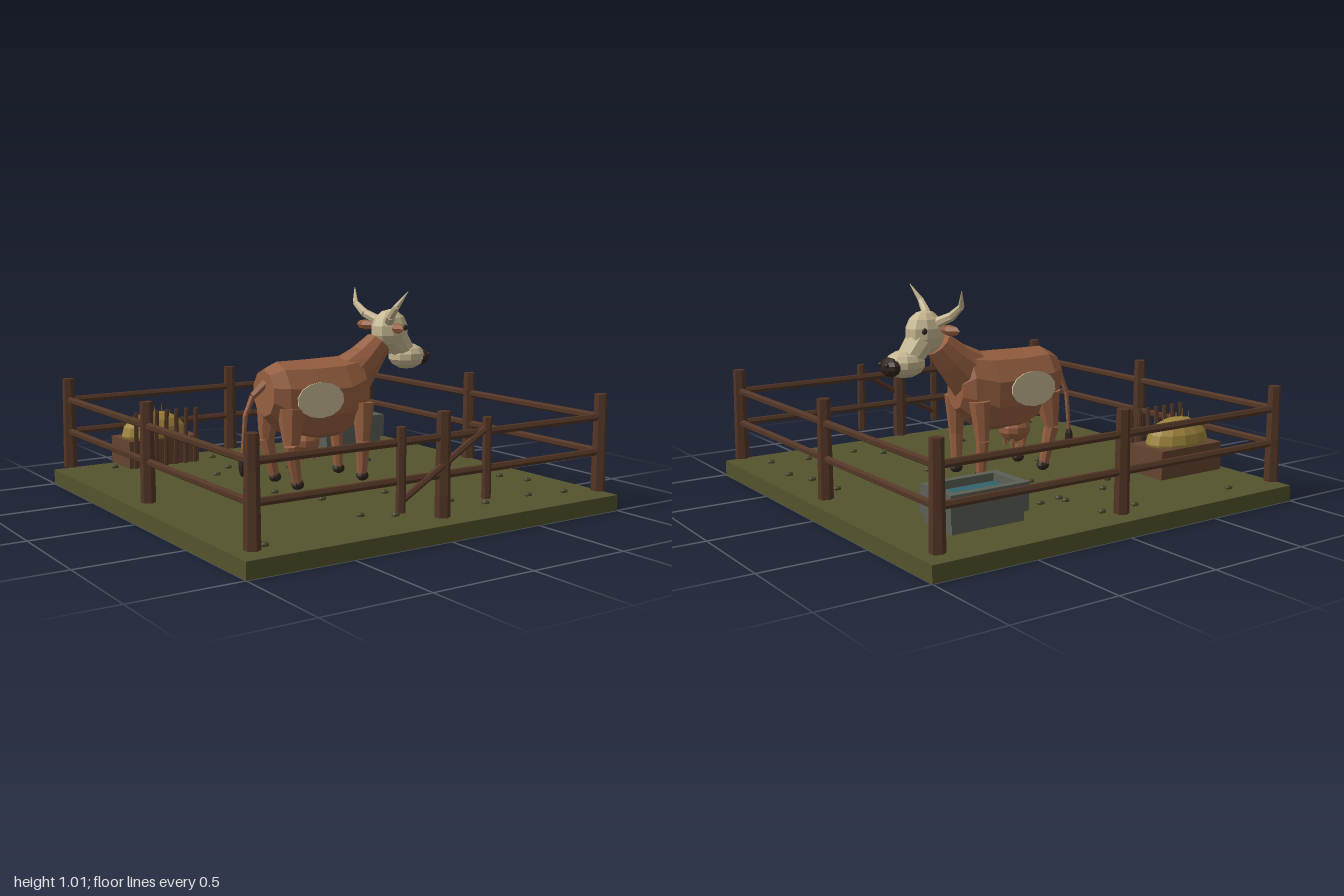
import * as THREE from 'three';

const mat = (name, color, extra = {}) => {
  const m = new THREE.MeshStandardMaterial({ color, flatShading: true, ...extra });
  m.name = name;
  return m;
};

export function createModel() {
  const grass = mat('grass', 0x54542d), tuftGreen = mat('dark grass', 0x46462a);
  const wood = mat('fence wood', 0x523525), plank = mat('feeder wood', 0x644430);
  const hide = mat('brown hide', 0x965f40), cream = mat('cream', 0xc6b791, { side: THREE.DoubleSide });
  const dark = mat('dark horn', 0x30251f), hay = mat('hay', 0x9c823a);
  const stone = mat('stone', 0x5b6056), water = mat('water', 0x34646a);

  const root = new THREE.Group();
  const group = (name) => {
    const g = new THREE.Group();
    g.name = name;
    root.add(g);
    return g;
  };
  const add = (parent, name, geo, material, x = 0, y = 0, z = 0) => {
    const m = new THREE.Mesh(geo, material);
    m.name = name;
    m.position.set(x, y, z);
    parent.add(m);
    return m;
  };
  const box = (p, name, m, w, h, d, x, y, z) => add(p, name, new THREE.BoxGeometry(w, h, d), m, x, y, z);
  const blob = (p, name, m, r, c, ws = 10, hs = 7) => {
    const b = add(p, name, new THREE.SphereGeometry(1, ws, hs), m, ...c);
    b.scale.set(...r);
    return b;
  };
  // Tapered round bar between two points
  const bar = (p, name, m, a, b, r0, r1 = r0, sides = 6) => {
    const A = new THREE.Vector3(...a), B = new THREE.Vector3(...b);
    const d = B.clone().sub(A);
    const s = add(p, name, new THREE.CylinderGeometry(r1, r0, d.length(), sides), m);
    s.position.copy(A).add(B).multiplyScalar(0.5);
    s.quaternion.setFromUnitVectors(new THREE.Vector3(0, 1, 0), d.normalize());
    return s;
  };
  // Chain of tapered bars through [x, y, z, radius] points
  const chain = (p, name, m, pts, sides = 6) => {
    for (let i = 0; i < pts.length - 1; i++) {
      bar(p, name, m, pts[i].slice(0, 3), pts[i + 1].slice(0, 3), pts[i][3], pts[i + 1][3], sides);
    }
  };
  // Skin over oval sections [x, y, halfHeight, halfWidth, lean]
  const loft = (sections, n = 10) => {
    const pos = [], idx = [];
    for (const [x, y, h, w, lean = 0] of sections) {
      for (let j = 0; j < n; j++) {
        const a = (j / n) * Math.PI * 2, u = h * Math.cos(a);
        pos.push(x - Math.sin(lean) * u, y + Math.cos(lean) * u, w * Math.sin(a));
      }
    }
    const last = sections.length - 1, c = pos.length / 3;
    pos.push(sections[0][0], sections[0][1], 0, sections[last][0], sections[last][1], 0);
    for (let j = 0; j < n; j++) {
      const k = (j + 1) % n;
      for (let i = 0; i < last; i++) {
        const a = i * n + j, b = i * n + k;
        idx.push(a, b, b + n, a, b + n, a + n);
      }
      idx.push(c, k, j, c + 1, last * n + j, last * n + k);
    }
    const g = new THREE.BufferGeometry();
    g.setAttribute('position', new THREE.Float32BufferAttribute(pos, 3));
    g.setIndex(idx);
    g.computeVertexNormals();
    return g;
  };

  // Ground with small clumps
  const ground = group('ground');
  box(ground, 'groundSlab', grass, 2, 0.075, 2, 0, 0.0375, 0);
  const clumps = [
    [-0.72, -0.87], [-0.17, -0.83], [0.02, -0.83], [0.04, -0.6], [0.04, -0.55], [0.16, -0.57], [-0.23, -0.54],
    [-0.36, -0.42], [0.05, -0.39], [-0.5, -0.31], [0.49, -0.3], [-0.03, -0.24], [-0.32, 0.08], [0.26, 0.22],
    [0.79, 0.17], [-0.21, 0.32], [0.11, 0.37], [0.81, 0.39], [0.86, 0.54], [-0.24, 0.67], [0.26, 0.67],
    [-0.11, 0.75], [0.37, 0.79], [0.64, 0.78], [0.83, 0.82], [-0.83, 0.85],
  ];
  for (const [x, z] of clumps) blob(ground, 'grassClump', tuftGreen, [0.021, 0.012, 0.016], [x, 0.08, z], 8, 5);

  // Fence: eight posts and two rails on each side
  const fence = group('fence');
  const e = 0.935;
  for (const x of [-e, 0, e]) {
    for (const z of [-e, 0, e]) {
      if (x || z) bar(fence, 'fencePost', wood, [x, 0.095, z], [x, 0.552, z], 0.035, 0.03);
    }
  }
  for (const y of [0.28, 0.443]) {
    for (const s of [-e, e]) {
      bar(fence, 'fenceRail', wood, [-e, y, s], [e, y, s], 0.018);
      bar(fence, 'fenceRail', wood, [s, y, -e], [s, y, e], 0.018);
    }
  }
  // Gate uprights and brace
  for (const x of [-0.235, 0.23]) bar(fence, 'gatePost', wood, [x, 0.15, 0.95], [x, 0.51, 0.95], 0.021);
  bar(fence, 'gateBrace', wood, [-0.235, 0.195, 0.95], [0.23, 0.465, 0.95], 0.015);

  // Hay feeder
  const feeder = group('hayFeeder');
  box(feeder, 'feederBox', plank, 0.38, 0.135, 0.22, -0.595, 0.203, -0.64);
  blob(feeder, 'hayHeap', hay, [0.175, 0.115, 0.105], [-0.6, 0.28, -0.64], 14, 8);
  for (let i = 0; i < 7; i++) {
    const x = -0.763 + i * 0.054;
    bar(feeder, 'feederSlat', wood, [x, 0.14, -0.508], [x, 0.42, -0.49], 0.011);
    const t = (i - 3) / 3;
    const y = 0.4 - 0.045 * t * t;
    add(feeder, 'hayStraw', new THREE.ConeGeometry(0.007, 0.09, 4), hay, -0.6 + t * 0.12, y - 0.01, -0.63);
  }

  // Water trough: foot, floor, four walls
  const trough = group('waterTrough');
  const tx = 0.59, tz = -0.68;
  box(trough, 'troughFoot', stone, 0.36, 0.05, 0.21, tx, 0.12, tz);
  box(trough, 'troughFloor', stone, 0.38, 0.03, 0.23, tx, 0.155, tz);
  for (const s of [-1, 1]) {
    box(trough, 'troughSide', stone, 0.39, 0.125, 0.035, tx, 0.203, tz + s * 0.103);
    box(trough, 'troughEnd', stone, 0.037, 0.125, 0.172, tx + s * 0.1765, 0.203, tz);
  }
  box(trough, 'waterSurface', water, 0.316, 0.06, 0.172, tx, 0.2, tz);

  // Cow body and neck
  const cow = group('cow');
  add(cow, 'body', loft([
    [-0.33, 0.54, 0.112, 0.1], [-0.26, 0.52, 0.167, 0.14], [-0.1, 0.49, 0.198, 0.158],
    [0.08, 0.495, 0.197, 0.153], [0.19, 0.53, 0.17, 0.115], [0.24, 0.52, 0.1, 0.07],
  ]), hide);
  add(cow, 'neck', loft([
    [0.14, 0.56, 0.14, 0.1, 0.5], [0.26, 0.67, 0.092, 0.078, 0.8], [0.335, 0.745, 0.07, 0.06, 0.85],
  ]), hide);

  // Head
  blob(cow, 'skull', cream, [0.1, 0.105, 0.078], [0.405, 0.805, 0]);
  blob(cow, 'muzzle', cream, [0.1, 0.066, 0.082], [0.515, 0.668, 0]);
  bar(cow, 'face', cream, [0.43, 0.77, 0], [0.5, 0.68, 0], 0.07, 0.06, 10);
  blob(cow, 'nose', dark, [0.042, 0.045, 0.07], [0.592, 0.66, 0]);

  // Udder
  blob(cow, 'udder', hide, [0.085, 0.065, 0.07], [-0.11, 0.285, 0]);

  // Mirrored parts
  for (const s of [-1, 1]) {
    blob(cow, 'eye', dark, [0.015, 0.015, 0.01], [0.45, 0.82, s * 0.07], 8, 6);
    blob(cow, 'nostril', dark, [0.01, 0.012, 0.014], [0.628, 0.672, s * 0.03], 6, 5);
    chain(cow, 'horn', cream, [
      [0.37, 0.85, s * 0.045, 0.026], [0.33, 0.885, s * 0.11, 0.022],
      [0.318, 0.935, s * 0.175, 0.015], [0.348, 1.01, s * 0.225, 0.002],
    ], 7);
    const ear = blob(cow, 'ear', hide, [0.033, 0.026, 0.065], [0.355, 0.825, s * 0.135], 4, 4);
    ear.rotation.y = -s * 0.2;

    chain(cow, 'frontLeg', hide, [
      [0.17, 0.47, s * 0.105, 0.055], [0.162, 0.28, s * 0.115, 0.034], [0.165, 0.11, s * 0.105, 0.024],
    ], 8);
    chain(cow, 'backLeg', hide, [
      [-0.235, 0.47, s * 0.095, 0.072], [-0.25, 0.3, s * 0.115, 0.038], [-0.212, 0.11, s * 0.105, 0.024],
    ], 8);
    for (const x of [0.168, -0.208]) blob(cow, 'hoof', dark, [0.034, 0.026, 0.029], [x, 0.106, s * 0.105], 8, 6);
    for (const x of [-0.14, -0.075]) {
      bar(cow, 'teat', hide, [x, 0.255, s * 0.03], [x, 0.2, s * 0.032], 0.013, 0.009);
    }

    // Cream flank patch: thin disc bent to the body side
    const patch = new THREE.CylinderGeometry(1, 1, 0.008, 14, 1);
    patch.rotateX(Math.PI / 2);
    patch.scale(0.13, 0.085, 1);
    const flank = add(cow, 'flankPatch', patch, cream, -0.11, 0.51, s * 0.158);
    flank.rotation.x = -s * 0.08;
  }

  // Tail with tuft
  chain(cow, 'tail', hide, [
    [-0.32, 0.59, 0, 0.022], [-0.385, 0.53, -0.01, 0.017], [-0.42, 0.44, -0.02, 0.013], [-0.435, 0.24, -0.025, 0.01],
  ]);
  blob(cow, 'tailTuft', dark, [0.021, 0.055, 0.021], [-0.435, 0.2, -0.025], 7, 6);

  return root;
}
